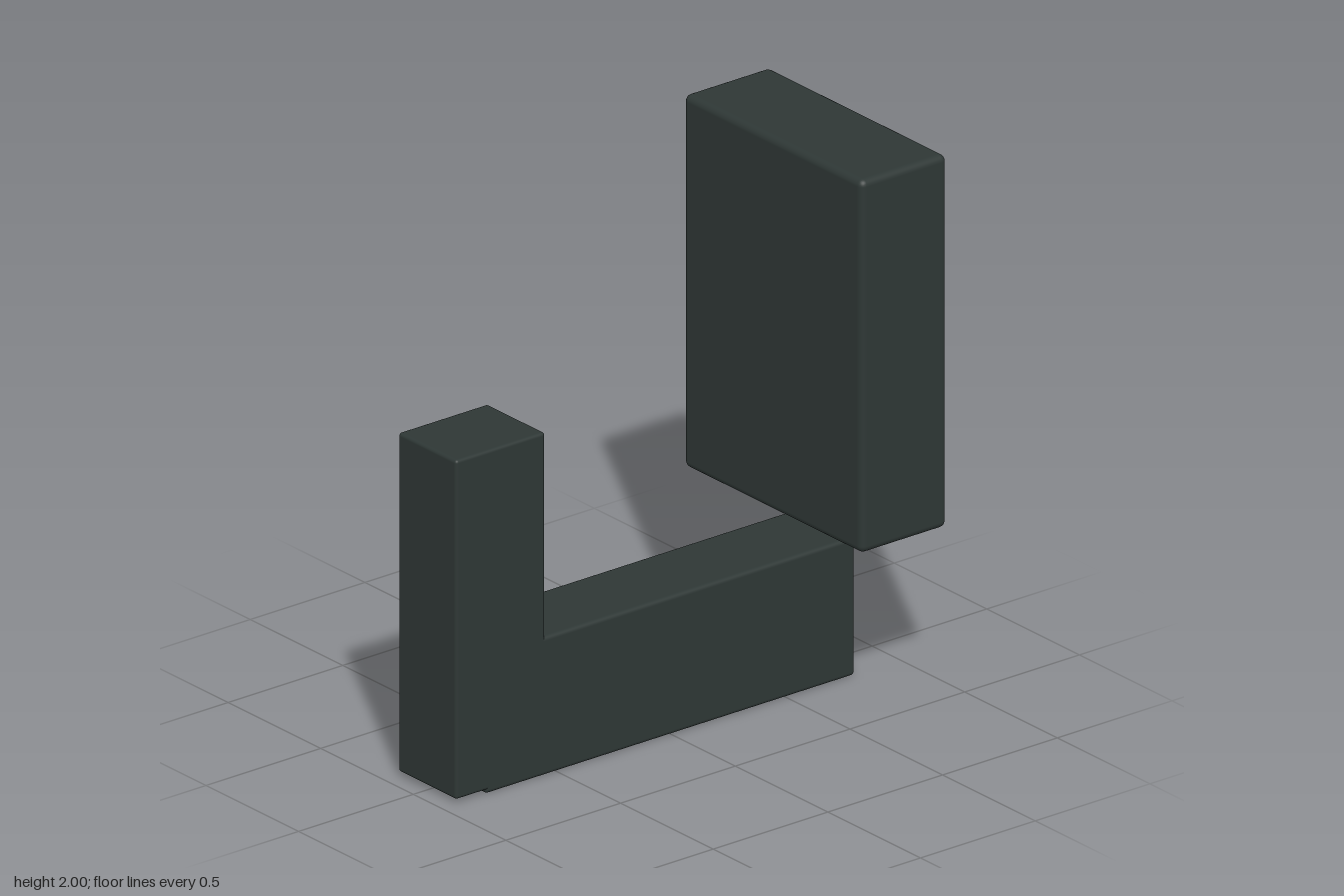
import * as THREE from 'three';
import { RoundedBoxGeometry } from 'three/addons/geometries/RoundedBoxGeometry.js';

const charcoal = new THREE.MeshStandardMaterial({ color: 0x2e3735 });
charcoal.name = 'charcoal';

// Softly bevelled block given by its extents on each axis
function block(name, [x0, x1], [y0, y1], [z0, z1], radius) {
  const geometry = new RoundedBoxGeometry(x1 - x0, y1 - y0, z1 - z0, 3, radius);
  const mesh = new THREE.Mesh(geometry, charcoal);
  mesh.name = name;
  mesh.position.set((x0 + x1) / 2, (y0 + y1) / 2, (z0 + z1) / 2);
  return mesh;
}

export function createModel() {
  const model = new THREE.Group();
  model.name = 'bracketAndPanel';

  // Floating rear panel
  model.add(block('rearPanel', [-0.482, 0.482], [0.62, 2], [-0.94, -0.565], 0.025));

  // L-shaped bracket: upright post at the front, long bar running back
  const bracket = new THREE.Group();
  bracket.name = 'bracket';
  bracket.add(block('frontPost', [-0.157, 0.157], [0.015, 1.27], [0.55, 0.94], 0.012));
  bracket.add(block('baseBar', [-0.157, 0.157], [0, 0.512], [-0.8, 0.81], 0.015));
  model.add(bracket);

  return model;
}
